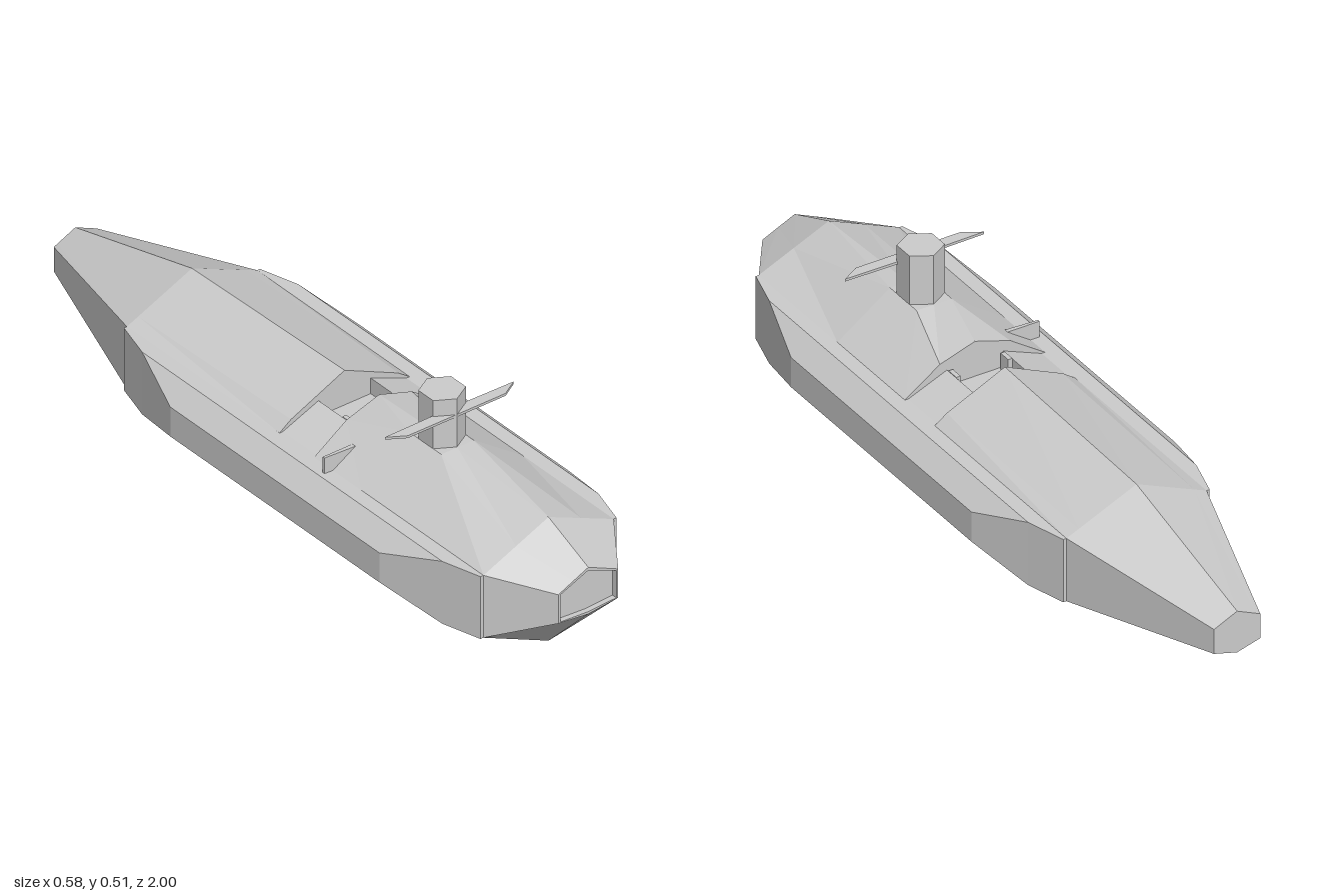
import * as THREE from 'three';

const material = new THREE.MeshStandardMaterial({ color: 0xcccccc, flatShading: true });

// Skins cross-sections, each { z, pts } with pts counter-clockwise seen from +z.
function loft(sections, capFront = true, capBack = true) {
  const pos = [];
  const put = (s, p) => pos.push(p[0], p[1], s.z);
  const n = sections[0].pts.length;
  for (let i = 0; i < sections.length - 1; i++) {
    const f = sections[i], b = sections[i + 1];
    for (let j = 0; j < n; j++) {
      const k = (j + 1) % n;
      put(f, f.pts[j]); put(b, b.pts[j]); put(f, f.pts[k]);
      put(f, f.pts[k]); put(b, b.pts[j]); put(b, b.pts[k]);
    }
  }
  const cap = (s, front) => {
    const c = [0, 1].map(a => s.pts.reduce((t, p) => t + p[a], 0) / n);
    for (let j = 0; j < n; j++) {
      const p = s.pts[j], q = s.pts[(j + 1) % n];
      put(s, c); put(s, front ? p : q); put(s, front ? q : p);
    }
  };
  if (capFront) cap(sections[0], true);
  if (capBack) cap(sections[sections.length - 1], false);
  const geo = new THREE.BufferGeometry();
  geo.setAttribute('position', new THREE.Float32BufferAttribute(pos, 3));
  geo.computeVertexNormals();
  return geo;
}

// Mirrors a right-hand half outline (keel upwards) into a full ring.
function ring(z, half) {
  const left = half.filter(p => p[0] > 0).reverse().map(p => [-p[0], p[1]]);
  return { z, pts: [...half, ...left] };
}

// Hull station: keel, chine, rail, deck shoulder and ridge.
const station = (z, w, keel, chine, rail, sx, sy, ridge) =>
  ring(z, [[0, keel], [w, chine], [w, rail], [sx, sy], [0, ridge]]);

export function createModel() {
  const model = new THREE.Group();
  const add = (name, geo, x = 0, y = 0, z = 0) => {
    const mesh = new THREE.Mesh(geo, material);
    mesh.name = name;
    mesh.position.set(x, y, z);
    model.add(mesh);
    return mesh;
  };

  // Bow with a shallow recessed nose face, rising to a flat deck at the tower
  add('bowHull', loft([
    station(0.985, 0.086, 0.164, 0.169, 0.247, 0.043, 0.265, 0.283),
    station(1, 0.086, 0.164, 0.169, 0.247, 0.043, 0.265, 0.283),
    station(1, 0.092, 0.157, 0.167, 0.25, 0.046, 0.271, 0.292),
    station(0.845, 0.2, 0, 0.09, 0.27, 0.1, 0.3135, 0.357),
    station(0.49, 0.2, 0, 0.09, 0.27, 0.05, 0.375, 0.375),
    station(0.37, 0.2, 0, 0.09, 0.27, 0.05, 0.375, 0.375),
    station(0.185, 0.2, 0, 0.09, 0.27, 0.1, 0.338, 0.37),
  ]));

  // Sunken well amidships: sloping side pads around a flat floor
  const well = [[0, 0], [0.2, 0.09], [0.2, 0.27], [0.19, 0.27], [0.08, 0.315], [0.08, 0.27]];
  add('midshipWell', loft([ring(0.185, well), ring(0.05, well)], false, false));

  // Stern tapering to a small blunt end
  add('sternHull', loft([
    station(0.05, 0.2, 0, 0.09, 0.27, 0.165, 0.295, 0.37),
    station(-0.545, 0.2, 0, 0.09, 0.27, 0.165, 0.285, 0.357),
    station(-1, 0.066, 0.122, 0.14, 0.21, 0.054, 0.2155, 0.24),
  ]));

  // Bevelled side tanks
  const tank = (z, shoulder, out, low, high) => ({
    z, pts: [[0.195, 0.09], [shoulder, 0.09], [out, low], [out, high], [shoulder, 0.27], [0.195, 0.27]],
  });
  const tankSections = [
    tank(0.845, 0.209, 0.209, 0.09, 0.27),
    tank(0.735, 0.24, 0.24, 0.09, 0.27),
    tank(0.555, 0.24, 0.291, 0.137, 0.222),
    tank(-0.26, 0.24, 0.291, 0.137, 0.222),
    tank(-0.435, 0.24, 0.24, 0.09, 0.27),
    tank(-0.545, 0.209, 0.209, 0.09, 0.27),
  ];
  const mirrored = tankSections.map(s => ({ z: s.z, pts: s.pts.map(p => [-p[0], p[1]]).reverse() }));
  add('leftSideTank', loft(tankSections));
  add('rightSideTank', loft(mirrored));

  // Hexagonal tower
  add('tower', new THREE.CylinderGeometry(0.058, 0.058, 0.148, 6), 0, 0.44, 0.43);

  // Thin diving planes, swept at the front of the tips
  const plane = new THREE.Shape([[0, 0.455], [0.198, 0.458], [0.15, 0.487], [0, 0.487]]
    .map(p => new THREE.Vector2(...p)));
  for (const side of [1, -1]) {
    const geo = new THREE.ExtrudeGeometry(plane, { depth: 0.007, bevelEnabled: false });
    geo.rotateX(Math.PI / 2);
    const wing = add(side > 0 ? 'leftDivingPlane' : 'rightDivingPlane', geo, 0, 0.468, 0);
    wing.scale.x = side;
    // Small posts at the front of the well
    add(side > 0 ? 'leftWellPost' : 'rightWellPost',
      new THREE.BoxGeometry(0.012, 0.05, 0.035), side * 0.074, 0.292, 0.16);
  }

  // Single upright fin on the right-hand deck edge
  const fin = new THREE.Shape([[-0.225, 0.25], [-0.13, 0.25], [-0.13, 0.2625], [-0.225, 0.257]]
    .map(p => new THREE.Vector2(...p)));
  const finGeo = new THREE.ExtrudeGeometry(fin, { depth: 0.048, bevelEnabled: false });
  finGeo.rotateX(Math.PI / 2);
  add('deckFin', finGeo, 0, 0.315, 0);

  return model;
}
